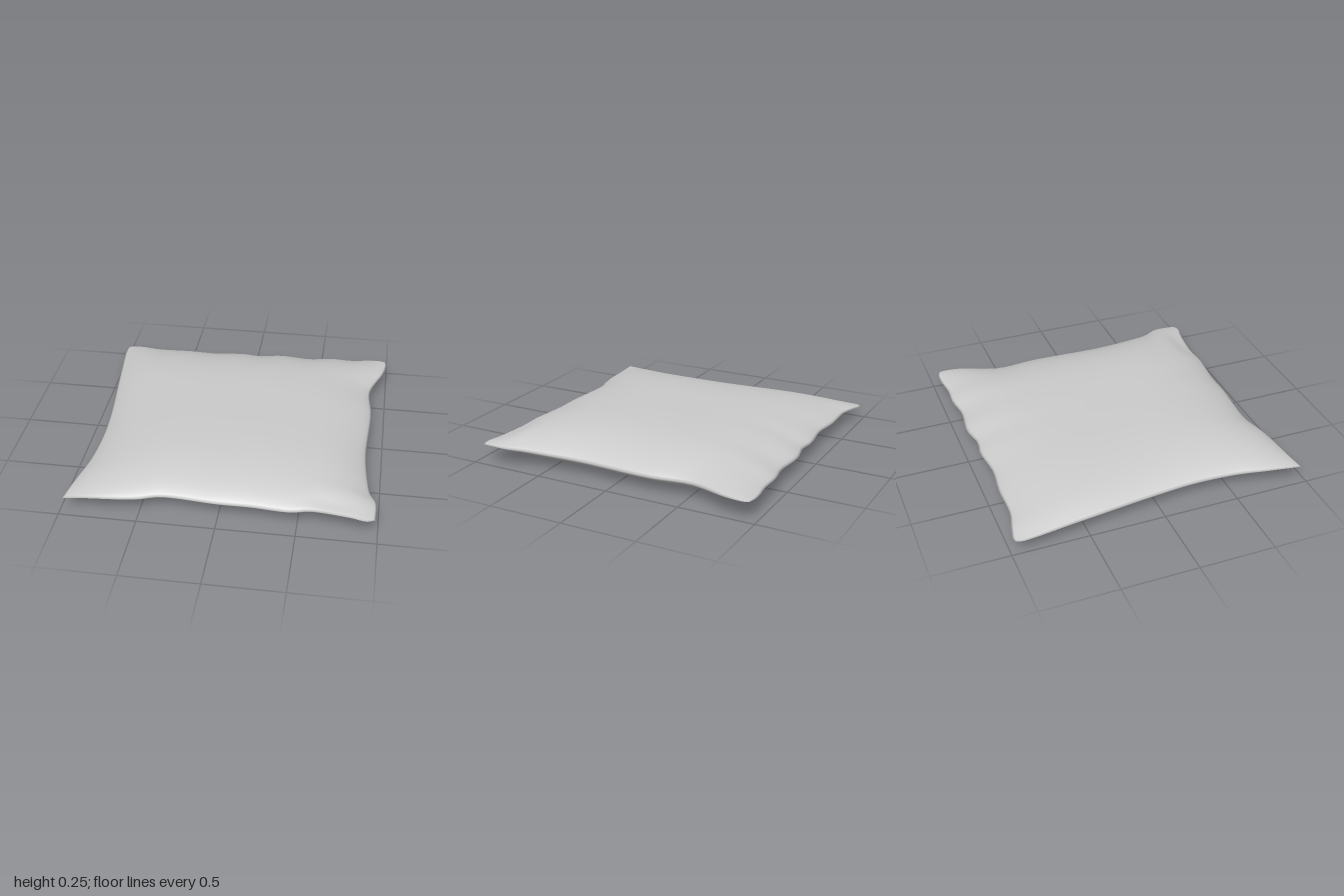
import * as THREE from 'three';
import { mergeVertices } from 'three/addons/utils/BufferGeometryUtils.js';

const N = 48; // grid cells per side

// Corners of the seam: back/front, left/right as seen from above (x, y, z)
const BL = [-0.99, 0.09, -0.965], BR = [0.985, 0.125, -0.955];
const FL = [-0.975, 0.11, 0.97], FR = [0.98, 0.13, 0.935];

const curve = (...pts) =>
  new THREE.CatmullRomCurve3(pts.map(p => new THREE.Vector3(...p)), false, 'centripetal');

// Slightly wavy seam along each side
const back = curve(BL, [-0.96, 0.09, -0.975], [-0.87, 0.1, -0.96], [-0.74, 0.105, -0.93], [-0.5, 0.105, -0.93],
  [-0.3, 0.11, -0.912], [-0.08, 0.11, -0.935], [0.04, 0.11, -0.92], [0.2, 0.11, -0.95], [0.42, 0.11, -0.93],
  [0.58, 0.115, -0.955], [0.72, 0.115, -0.95], [0.86, 0.12, -0.968], [0.94, 0.125, -0.968], BR);
const front = curve(FL, [-0.85, 0.11, 0.955], [-0.6, 0.11, 0.932], [-0.5, 0.11, 0.915], [-0.37, 0.115, 0.88],
  [0, 0.115, 0.9], [0.2, 0.115, 0.9], [0.46, 0.12, 0.92], [0.58, 0.13, 0.905], [0.82, 0.13, 0.932],
  [0.93, 0.13, 0.955], FR);
const left = curve(BL, [-1, 0.09, -0.93], [-0.96, 0.1, -0.53], [-0.9, 0.105, 0], [-0.885, 0.11, 0.27],
  [-0.9, 0.11, 0.55], [-0.94, 0.11, 0.76], [-0.965, 0.11, 0.9], FL);
const right = curve(BR, [0.995, 0.125, -0.92], [0.98, 0.125, -0.8], [0.89, 0.115, -0.53], [0.91, 0.11, -0.25],
  [0.895, 0.11, 0.25], [0.92, 0.115, 0.55], [0.94, 0.12, 0.67], [0.98, 0.13, 0.77], FR);

// Puffiness: 0 at the seam, 1 in the middle
const puff = (s, p, q) => Math.pow(Math.max(0, 1 - Math.pow(Math.abs(s), p)), q);

// Grid lines gather towards the seam, where the cloth curves most
const spread = i => {
  const t = (i / N) * 2 - 1;
  return (0.3 * t + 0.7 * Math.sin(t * Math.PI / 2) + 1) / 2;
};

// Blend the four seam curves into a middle sheet
function sheetPoint(a, b, e) {
  const p = new THREE.Vector3();
  p.addScaledVector(e.back, 1 - b).addScaledVector(e.front, b);
  p.addScaledVector(e.left, 1 - a).addScaledVector(e.right, a);
  [[BL, (1 - a) * (1 - b)], [BR, a * (1 - b)], [FL, (1 - a) * b], [FR, a * b]]
    .forEach(([c, w]) => p.addScaledVector(new THREE.Vector3(...c), -w));
  return p;
}

function cushionGeometry() {
  const ts = Array.from({ length: N + 1 }, (_, i) => spread(i));
  const sample = c => ts.map(t => c.getPointAt(Math.min(1, Math.max(0, t))));
  const [bk, fr, lf, rt] = [back, front, left, right].map(sample);
  const positions = [], index = [];

  for (const top of [true, false]) {
    const start = positions.length / 3;
    for (let j = 0; j <= N; j++) {
      for (let i = 0; i <= N; i++) {
        const p = sheetPoint(ts[i], ts[j], { back: bk[i], front: fr[i], left: lf[j], right: rt[j] });
        const u = ts[i] * 2 - 1, v = ts[j] * 2 - 1;
        if (top) {
          // Fuller towards the front right, with a dent near that corner
          const dent = 1 - 0.35 * Math.exp(-(((u - 0.72) / 0.18) ** 2) - ((v - 0.95) / 0.07) ** 2);
          const crown = 0.243 + 0.012 * u + 0.01 * v;
          p.y += (crown - p.y) * puff(u, 3.6, 0.78) * puff(v, 3.6, 0.75) * dent;
        } else {
          p.y *= 1 - puff(u, 6, 0.75) * puff(v, 4.5, 0.75);
        }
        positions.push(p.x, p.y, p.z);
      }
    }
    for (let j = 0; j < N; j++) {
      for (let i = 0; i < N; i++) {
        const a = start + j * (N + 1) + i, b = a + 1, c = a + N + 1, d = c + 1;
        if (top) index.push(a, c, b, b, c, d);
        else index.push(a, b, c, b, d, c);
      }
    }
  }

  const g = new THREE.BufferGeometry();
  g.setAttribute('position', new THREE.Float32BufferAttribute(positions, 3));
  g.setIndex(index);
  // Join top and bottom along the seam for smooth shading
  const joined = mergeVertices(g, 1e-5);
  joined.computeVertexNormals();
  return joined;
}

export function createModel() {
  const group = new THREE.Group();
  group.name = 'pillow';
  const cushion = new THREE.Mesh(
    cushionGeometry(),
    new THREE.MeshStandardMaterial({ color: 0xcccccc })
  );
  cushion.name = 'cushion';
  group.add(cushion);
  return group;
}
